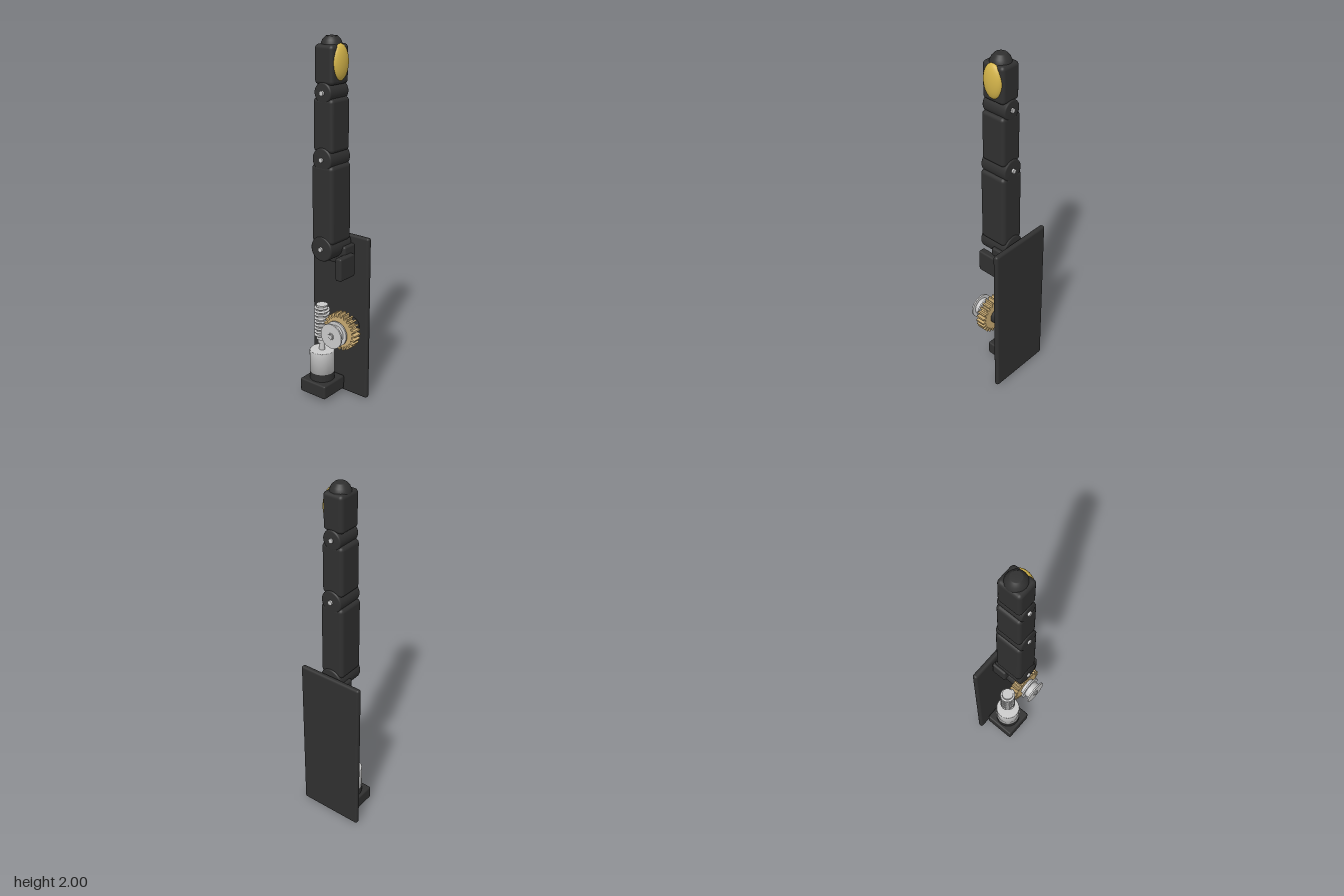
import * as THREE from 'three';
import { RoundedBoxGeometry } from 'three/addons/geometries/RoundedBoxGeometry.js';

const mat = (name, color) => Object.assign(new THREE.MeshStandardMaterial({ color }), { name });

export function createModel() {
  const root = new THREE.Group();
  root.name = 'mechanicalFinger';
  const black = mat('blackPlastic', 0x303030);
  const silver = mat('silverMetal', 0xcacaca);
  const brass = mat('brass', 0xc8aa72);
  const gold = mat('goldPad', 0xd4b44a);

  const add = (name, geo, material, x = 0, y = 0, z = 0) => {
    const m = new THREE.Mesh(geo, material);
    m.name = name;
    m.position.set(x, y, z);
    root.add(m);
    return m;
  };
  // Rounded box given by its extents
  const box = (name, x0, x1, y0, y1, z0, z1, r) =>
    add(name, new RoundedBoxGeometry(x1 - x0, y1 - y0, z1 - z0, 3, r), black,
      (x0 + x1) / 2, (y0 + y1) / 2, (z0 + z1) / 2);
  // Upright cylinder between two heights
  const post = (name, material, x, z, r, y0, y1, sides = 40) =>
    add(name, new THREE.CylinderGeometry(r, r, y1 - y0, sides), material, x, (y0 + y1) / 2, z);
  // Cylinder along z, between two depths
  const axle = (name, material, x, y, r, z0, z1, sides = 40) => {
    const g = new THREE.CylinderGeometry(r, r, z1 - z0, sides).rotateX(Math.PI / 2);
    return add(name, g, material, x, y, (z0 + z1) / 2);
  };
  // Cylinder along z with softened rims
  const barrel = (name, x, y, r, z0, z1) => {
    const b = 0.008, h = (z1 - z0) / 2;
    const pts = [[0, -h], [r - b, -h], [r - b * 0.3, -h + b * 0.3], [r, -h + b],
      [r, h - b], [r - b * 0.3, h - b * 0.3], [r - b, h], [0, h]];
    const g = new THREE.LatheGeometry(pts.map(p => new THREE.Vector2(...p)), 40).rotateX(Math.PI / 2);
    return add(name, g, black, x, y, (z0 + z1) / 2);
  };

  // Back plate
  box('backPlate', -0.196, 0.185, 0.004, 0.955, -0.116, -0.086, 0.013);

  // Motor
  const mx = -0.053, mz = 0.01;
  box('motorMount', -0.14, 0.036, 0.025, 0.106, -0.08, 0.099, 0.01);
  post('motorEndCap', black, mx, mz, 0.07, 0.1, 0.15);
  const can = [[0, 0.15], [0.07, 0.15], [0.07, 0.275], [0.066, 0.28], [0, 0.28]];
  add('motorCan', new THREE.LatheGeometry(can.map(p => new THREE.Vector2(...p)), 48), silver, mx, 0, mz);
  post('motorShaft', silver, mx, mz, 0.017, 0.28, 0.36, 24);
  post('shaftCollar', silver, mx, mz, 0.024, 0.322, 0.35, 24);

  // Worm screw with a helical thread
  post('wormCore', silver, mx, mz, 0.032, 0.346, 0.552, 32);
  const turns = 9, helix = [];
  for (let i = 0; i <= turns * 16; i++) {
    const a = (i / 16) * Math.PI * 2;
    helix.push(new THREE.Vector3(Math.cos(a) * 0.037, 0.357 + 0.184 * i / (turns * 16), -Math.sin(a) * 0.037));
  }
  add('wormThread', new THREE.TubeGeometry(new THREE.CatmullRomCurve3(helix), turns * 32, 0.007, 6),
    silver, mx, 0, mz);

  // Worm wheel
  const gx = 0.087, gy = 0.435, teeth = 24;
  const outline = [];
  for (let i = 0; i < teeth; i++) {
    const step = Math.PI * 2 / teeth;
    for (const [f, r] of [[-0.32, 0.085], [-0.15, 0.106], [0.15, 0.106], [0.32, 0.085]]) {
      const a = (i + f) * step;
      outline.push(new THREE.Vector2(Math.cos(a) * r, Math.sin(a) * r));
    }
  }
  add('wormWheel', new THREE.ExtrudeGeometry(new THREE.Shape(outline), { depth: 0.053, bevelEnabled: false }),
    brass, gx, gy, -0.016);
  axle('wheelPost', black, gx, gy, 0.045, -0.09, -0.014);

  // Cable spool in front of the wheel
  axle('spoolBackFlange', silver, gx, gy, 0.07, 0.056, 0.065);
  axle('spoolHub', silver, gx, gy, 0.05, 0.035, 0.1);
  axle('spoolFrontFlange', silver, gx, gy, 0.07, 0.098, 0.107);
  axle('spoolScrew', silver, gx, gy, 0.0125, 0.1, 0.114, 16);
  add('spoolWasher', new THREE.TorusGeometry(0.016, 0.003, 8, 24), silver, gx, gy, 0.107);

  // Knuckle bracket and lug
  box('knuckleBracket', -0.07, 0.1, 0.812, 0.915, -0.086, 0.005, 0.012);
  box('knuckleLug', 0.086, 0.126, 0.745, 0.872, -0.05, 0.073, 0.01);

  // Joints: name, height, radius, depth range, pin depth range
  const fx = 0.014;
  for (const [name, y, r, z0, z1, p0, p1] of [
    ['knuckle', 0.912, 0.068, -0.078, 0.099, -0.085, 0.11],
    ['middle', 1.39, 0.061, -0.07, 0.093, -0.08, 0.102],
    ['tip', 1.727, 0.053, -0.063, 0.085, -0.07, 0.096],
  ]) {
    barrel(name + 'Joint', fx, y, r, z0, z1);
    axle(name + 'Pin', silver, fx, y, 0.0125, p0, p1, 16);
  }

  // Finger segments
  box('lowerSegment', -0.056, 0.084, 0.94, 1.362, -0.07, 0.094, 0.022);
  box('middleSegment', -0.05, 0.078, 1.425, 1.7, -0.062, 0.085, 0.02);
  box('tipSegment', -0.045, 0.073, 1.765, 1.962, -0.057, 0.08, 0.02);

  // Rounded fingertip
  const dome = [[0.057, 1.94], [0.055, 1.96], [0.046, 1.982], [0.031, 1.998], [0.028, 2], [0, 2]];
  add('fingertip', new THREE.LatheGeometry(dome.map(p => new THREE.Vector2(...p)), 40), black, fx, 0, 0.01);

  // Gripping pad on the side of the tip
  add('gripPad', new THREE.SphereGeometry(1, 40, 24).scale(0.03, 0.091, 0.058), gold, 0.067, 1.875, 0.01);

  return root;
}
